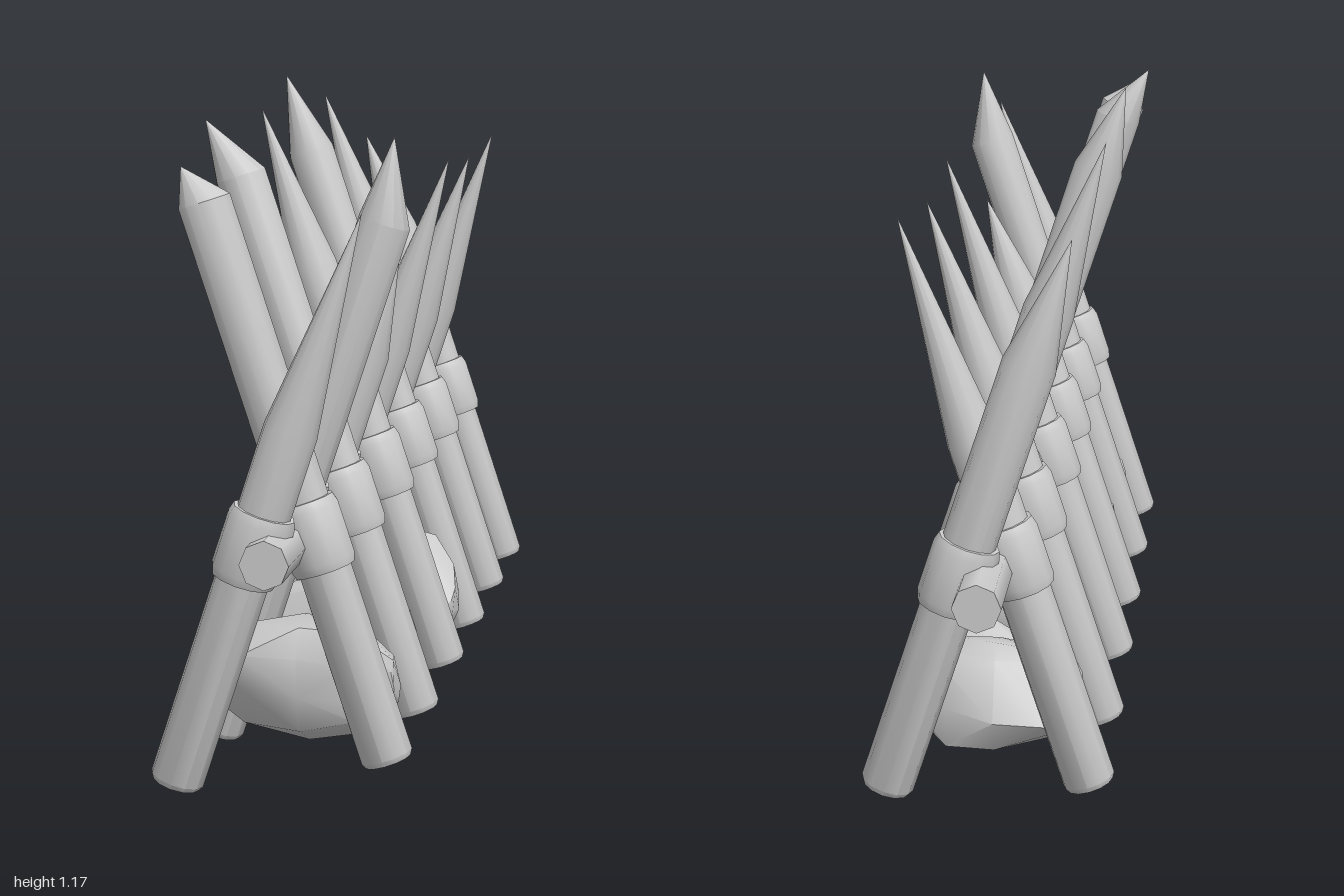
import * as THREE from 'three';
import { toCreasedNormals } from 'three/addons/utils/BufferGeometryUtils.js';
import { ConvexGeometry } from 'three/addons/geometries/ConvexGeometry.js';

const TILT = 0.318;
const material = new THREE.MeshStandardMaterial({ color: 0xcccccc });

function mesh(name, geometry, crease = 0.6) {
  const m = new THREE.Mesh(toCreasedNormals(geometry, crease), material);
  m.name = name;
  return m;
}

function lathe(points, sides) {
  return new THREE.LatheGeometry(points.map(([r, y]) => new THREE.Vector2(r, y)), sides);
}

// Leaning stake with a sharpened tip and a binding collar; side is the x sign of its foot
function stake(side, z, shoulderY, tipY, skew = 0) {
  const baseY = side > 0 ? 0.04 : 0.015;
  const along = y => (y - baseY) / Math.cos(TILT);
  const tip = along(tipY);
  const geometry = lathe([[0, 0], [0.041, 0], [0.047, 0.01], [0.047, along(shoulderY)], [0, tip]], 12);
  const p = geometry.attributes.position;
  for (let i = 0; i < p.count; i++) {
    if (p.getY(i) > tip - 0.001) p.setX(i, p.getX(i) + skew);
  }
  const collar = mesh('collar', lathe(
    [[0.046, -0.062], [0.054, -0.062], [0.059, -0.046], [0.059, 0.046], [0.054, 0.062], [0.046, 0.062]], 12), 0.9);
  collar.position.y = along(0.432);

  const group = new THREE.Group();
  group.name = side > 0 ? 'leftFootedStake' : 'rightFootedStake';
  group.add(mesh('shaft', geometry), collar);
  group.position.set(side * 0.175, baseY, z);
  group.rotation.z = side * TILT;
  return group;
}

// Boulder: side outline [z, y] repeated at shrinking scales across its width
function rock(x0, x1, outline) {
  const n = outline.length;
  const cz = outline.reduce((s, q) => s + q[0], 0) / n;
  const cy = outline.reduce((s, q) => s + q[1], 0) / n;
  const points = [];
  [[0, 0.45], [0.15, 0.8], [0.5, 1], [0.82, 0.85], [1, 0.4]].forEach(([t, scale], k) => {
    outline.forEach(([z, y], i) => {
      const wobble = scale === 1 ? 0 : 0.012 * Math.sin(i * 2.3 + k * 1.7);
      points.push(new THREE.Vector3(
        x0 + (x1 - x0) * t - Math.abs(wobble) * Math.sign(t - 0.5),
        Math.max(0.02, cy + (y - cy) * scale + wobble),
        cz + (z - cz) * scale + wobble));
    });
  });
  return mesh('rock', new ConvexGeometry(points), 0.65);
}

export function createModel() {
  const model = new THREE.Group();
  model.name = 'stakeBarricade';

  // Long rail through the crossings
  const rail = mesh('rail', new THREE.CylinderGeometry(0.042, 0.042, 2, 8), 0.9);
  rail.rotation.x = Math.PI / 2;
  rail.position.y = 0.42;
  model.add(rail);

  // Stakes: z, shoulder height, tip height, tip skew
  const leftFooted = [
    [0.8, 1.0, 1.065, -0.02], [0.48, 1.02, 1.13, -0.03], [0.13, 0.82, 1.125],
    [-0.195, 1.02, 1.175], [-0.53, 0.82, 1.125], [-0.855, 0.8, 1.015],
  ];
  const rightFooted = [
    [0.905, 0.63, 0.995], [0.585, 0.95, 1.09, -0.03], [0.25, 0.67, 0.88],
    [-0.075, 0.64, 1.02], [-0.43, 0.66, 1.0], [-0.75, 0.64, 1.03],
  ];
  leftFooted.forEach(s => model.add(stake(1, ...s)));
  rightFooted.forEach(s => model.add(stake(-1, ...s)));

  // Boulders under the rail
  model.add(
    rock(-0.16, 0.17, [[0.76, 0.2], [0.73, 0.25], [0.66, 0.26], [0.58, 0.22], [0.535, 0.1],
      [0.56, 0.035], [0.63, 0.02], [0.72, 0.06], [0.755, 0.13]]),
    rock(-0.16, 0.145, [[0.44, 0.1], [0.4, 0.25], [0.35, 0.26], [0.22, 0.23], [0.175, 0.15],
      [0.18, 0.08], [0.27, 0.025], [0.38, 0.025], [0.43, 0.07]]),
    rock(-0.13, 0.18, [[0.075, 0.13], [0.06, 0.07], [0, 0.02], [-0.1, 0.02], [-0.16, 0.05],
      [-0.18, 0.15], [-0.14, 0.26], [-0.05, 0.24], [0.03, 0.2]]),
    rock(-0.04, 0.145, [[-0.23, 0.09], [-0.25, 0.06], [-0.3, 0.03], [-0.36, 0.025], [-0.4, 0.05],
      [-0.41, 0.1], [-0.38, 0.15], [-0.32, 0.175]]),
    rock(-0.15, 0.15, [[-0.54, 0.19], [-0.6, 0.23], [-0.66, 0.24], [-0.7, 0.22], [-0.75, 0.12],
      [-0.72, 0.06], [-0.62, 0.025], [-0.55, 0.07]]),
  );
  return model;
}
